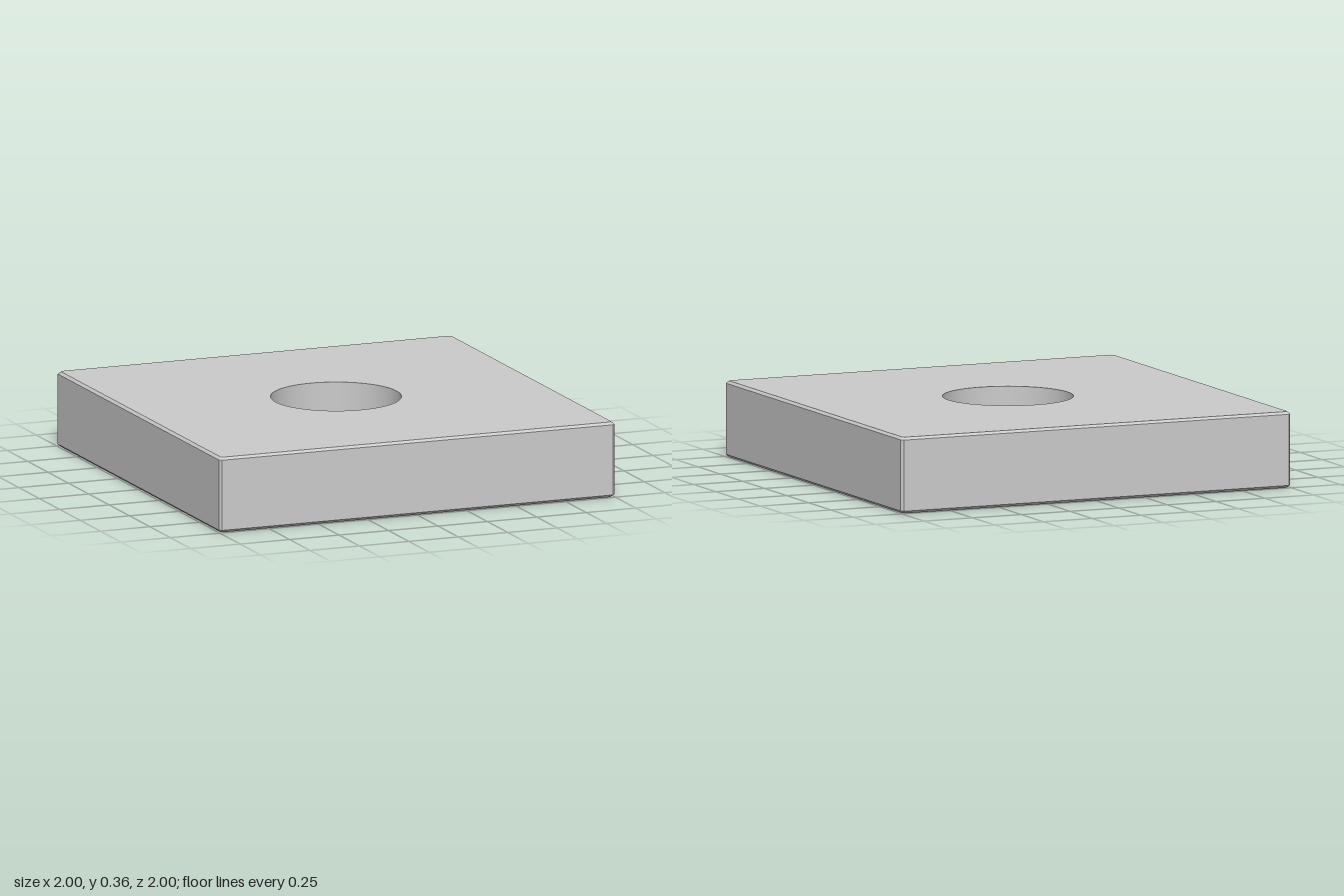
import * as THREE from 'three';

const H = 0.36;        // overall height
const C = 0.012;       // edge chamfer
const INNER = 0.935;   // half width of the underside recess
const RECESS = 0.115;  // recess depth
const BOSS = 0.928;    // round boss radius
const BORE = 0.306;    // central through hole radius
const PIN = { r: 0.085, z: 0.763, depth: 0.2 };

const grey = new THREE.MeshStandardMaterial({ color: 0xcccccc });
const greyOpen = new THREE.MeshStandardMaterial({ color: 0xcccccc, side: THREE.DoubleSide });

// Square outline of half width h with corners cut by c
function outline(h, c) {
  const k = h - c;
  return [[h, -k], [h, k], [k, h], [-k, h], [-h, k], [-h, -k], [-k, -h], [k, -h]]
    .map(([x, y]) => new THREE.Vector2(x, y));
}

// Flat-shaded skin through stacked outlines, given as [y, half width] from bottom to top
function loft(levels) {
  const rings = levels.map(([y, h]) => outline(h, C).map(p => new THREE.Vector3(p.x, y, -p.y)));
  const points = [];
  for (let j = 0; j < rings.length - 1; j++) {
    const lo = rings[j], hi = rings[j + 1];
    for (let i = 0; i < lo.length; i++) {
      const n = (i + 1) % lo.length;
      points.push(lo[i], lo[n], hi[n], lo[i], hi[n], hi[i]);
    }
  }
  const g = new THREE.BufferGeometry().setFromPoints(points);
  g.computeVertexNormals();
  return g;
}

const circle = (r, x = 0, y = 0) => new THREE.Path().absarc(x, y, r, 0, Math.PI * 2, false);

// Horizontal face with holes, looking up (dir 1) or down (dir -1)
function face(points, holes, y, dir) {
  const s = new THREE.Shape(points);
  s.holes.push(...holes);
  return new THREE.ShapeGeometry(s, 48).rotateX(-dir * Math.PI / 2).translate(0, y, 0);
}

// Open cylinder wall between two heights
function tube(r, y0, y1, z = 0) {
  return new THREE.CylinderGeometry(r, r, y1 - y0, 96, 1, true).translate(0, (y0 + y1) / 2, z);
}

export function createModel() {
  const group = new THREE.Group();
  const add = (name, geometry, material = grey) => {
    const mesh = new THREE.Mesh(geometry, material);
    mesh.name = name;
    group.add(mesh);
  };

  // Chamfered outer block
  add('outerWall', loft([[0, 1 - C], [C, 1], [H - C, 1], [H, 1 - C]]));
  add('topFace', face(outline(1 - C, C), [circle(BORE)], H, 1));

  // Square recess on the underside
  const square = [[-1, -1], [1, -1], [1, 1], [-1, 1]]
    .map(([x, y]) => new THREE.Vector2(x * INNER, y * INNER));
  add('bottomRim', face(outline(1 - C, C), [new THREE.Path(square)], 0, -1));
  const wall = new THREE.CylinderGeometry(INNER * Math.SQRT2, INNER * Math.SQRT2, RECESS, 4, 1, true)
    .rotateY(Math.PI / 4).translate(0, RECESS / 2, 0).toNonIndexed();
  wall.computeVertexNormals();
  add('recessWall', wall, greyOpen);
  add('recessFloor', face(square, [circle(BOSS)], RECESS, -1));

  // Round boss with a central bore
  const pinHoles = [-1, 1].map(s => circle(PIN.r, 0, s * PIN.z));
  add('bossFace', face(circle(BOSS).getPoints(48), [circle(BORE), ...pinHoles], 0, -1));
  add('bossWall', tube(BOSS, 0, RECESS));
  add('centralBore', tube(BORE, 0, H), greyOpen);

  // Two blind pin holes
  for (const s of [-1, 1]) {
    add('pinHoleWall', tube(PIN.r, 0, PIN.depth, s * PIN.z), greyOpen);
    add('pinHoleEnd', new THREE.CircleGeometry(PIN.r, 48).rotateX(Math.PI / 2)
      .translate(0, PIN.depth, s * PIN.z));
  }
  return group;
}
